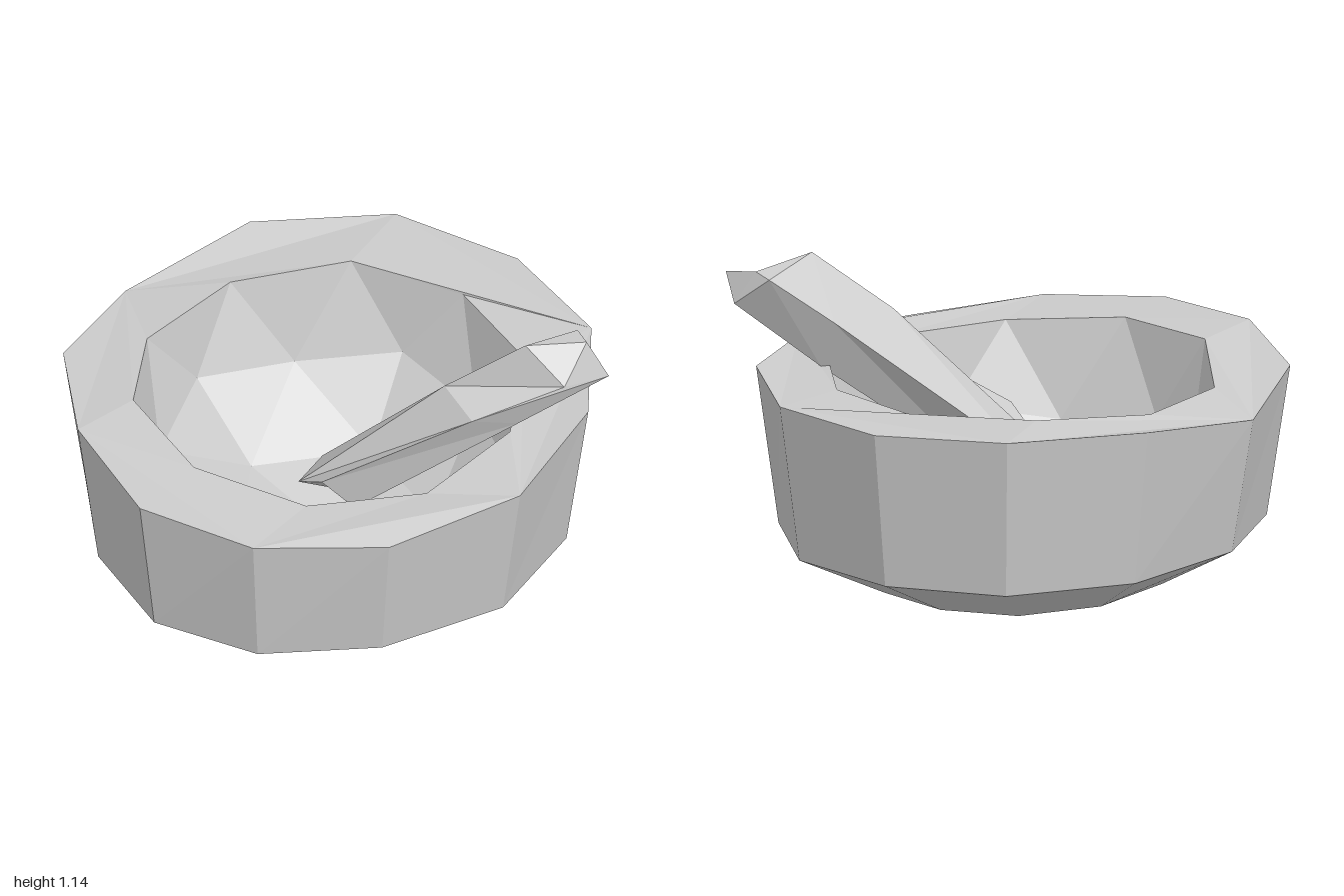
import * as THREE from 'three';

const material = new THREE.MeshStandardMaterial({ color: 0xcccccc, flatShading: true });

// Uneven twelve-sided rim outline: x, y, z, counter-clockwise from above
const rim = [
  [0.91, 0.74, 0.01], [0.78, 0.765, -0.49], [0.45, 0.755, -0.87], [-0.02, 0.75, -1],
  [-0.5, 0.765, -0.89], [-0.85, 0.765, -0.51], [-0.96, 0.70, 0.02], [-0.82, 0.765, 0.5],
  [-0.45, 0.80, 0.83], [0, 0.775, 1], [0.43, 0.75, 0.88], [0.75, 0.715, 0.52],
];

const turn = (x, z) => {
  const a = Math.atan2(-z, x);
  return a < -0.0111 ? a + Math.PI * 2 : a;
};

// Rim height at any point, interpolated around the outline
function rimHeight(x, z) {
  const a = turn(x, z);
  for (let i = 0; i < rim.length; i++) {
    const p = rim[i], q = rim[(i + 1) % rim.length];
    const a0 = turn(p[0], p[2]);
    let a1 = turn(q[0], q[2]);
    if (a1 < a0) a1 += Math.PI * 2;
    if (a >= a0 && a <= a1) return THREE.MathUtils.lerp(p[1], q[1], (a - a0) / (a1 - a0));
  }
  return rim[0][1];
}

function meshFrom(positions, name) {
  const geometry = new THREE.BufferGeometry();
  geometry.setAttribute('position', new THREE.Float32BufferAttribute(positions, 3));
  geometry.computeVertexNormals();
  const mesh = new THREE.Mesh(geometry, material);
  mesh.name = name;
  return mesh;
}

// Skin through rings of equal count, with optional fan caps
function loft(rings, startCap, endCap, name) {
  const out = [], n = rings[0].length;
  const tri = (a, b, c) => out.push(...a, ...b, ...c);
  for (let i = 0; i < n; i++) {
    const j = (i + 1) % n;
    for (let k = 0; k + 1 < rings.length; k++) {
      const lo = rings[k], hi = rings[k + 1];
      tri(lo[i], lo[j], hi[j]);
      tri(lo[i], hi[j], hi[i]);
    }
    if (startCap) tri(rings[0][j], rings[0][i], startCap);
    if (endCap) tri(rings.at(-1)[i], rings.at(-1)[j], endCap);
  }
  return meshFrom(out, name);
}

// Outer wall: tilted foot, waist and rim
function bowlShell() {
  const foot = rim.map(([x, , z]) => {
    const fz = z * 0.575 + 0.035;
    return [x * 0.59, Math.max(0, 0.033 + 0.06 * fz), fz];
  });
  const waist = rim.map(([x, , z]) => [x * 0.91, 0.205 + 0.025 * z, z * 0.925]);
  return loft([foot, waist, rim], [0, 0.035, 0.035], null, 'bowlShell');
}

// Hollow: lower half of a faceted sphere, turned inside out
function bowlHollow() {
  const ball = new THREE.IcosahedronGeometry(1, 1);
  ball.rotateZ(Math.atan2(1, (1 + Math.sqrt(5)) / 2) * -1);
  const p = ball.attributes.position, out = [];
  for (let i = 0; i < p.count; i += 3) {
    if (p.getY(i) + p.getY(i + 1) + p.getY(i + 2) > -0.01) continue;
    for (const k of [i, i + 2, i + 1]) {
      const x = p.getX(k) * 0.7 - 0.02, z = p.getZ(k) * 0.705 - 0.01, y = p.getY(k);
      out.push(x, y > -0.01 ? rimHeight(x, z) : 0.745 + y * 0.64, z);
    }
  }
  return meshFrom(out, 'bowlHollow');
}

// Flat lip between the wall and the ten-sided opening
function bowlLip() {
  const shape = new THREE.Shape(rim.map(([x, , z]) => new THREE.Vector2(x, -z)));
  const opening = [];
  for (let i = 0; i < 10; i++) {
    const a = (i + 0.5) * Math.PI / 5;
    opening.push(new THREE.Vector2(Math.cos(a) * 0.7 - 0.02, Math.sin(a) * 0.705 + 0.01));
  }
  shape.holes.push(new THREE.Path(opening));
  const geometry = new THREE.ShapeGeometry(shape).rotateX(-Math.PI / 2);
  const p = geometry.attributes.position;
  for (let i = 0; i < p.count; i++) p.setY(i, rimHeight(p.getX(i), p.getZ(i)));
  geometry.computeVertexNormals();
  const mesh = new THREE.Mesh(geometry, material);
  mesh.name = 'bowlLip';
  return mesh;
}

// Rough-cut five-sided pestle leaning on the lip
function pestle() {
  const tip = [[0, 0.43, 0.17], [0.17, 0.55, 0.235], [0.24, 0.42, 0.14], [0.14, 0.34, 0.02], [-0.04, 0.43, 0]];
  const middle = [[0.45, 0.93, -0.1], [0.6, 0.86, -0.08], [0.7, 0.83, -0.21], [0.61, 0.75, -0.33], [0.53, 0.93, -0.37]];
  const grip = [[0.69, 1.14, -0.26], [0.83, 1.0, -0.31], [0.96, 1.065, -0.4], [0.87, 0.98, -0.49], [0.72, 1.09, -0.5]];
  return loft([tip, middle, grip], [0.08, 0.4, 0.09], [0.8, 1.1, -0.46], 'pestle');
}

export function createModel() {
  const model = new THREE.Group();
  model.name = 'mortarAndPestle';
  const bowl = new THREE.Group();
  bowl.name = 'bowl';
  bowl.add(bowlShell(), bowlHollow(), bowlLip());
  model.add(bowl, pestle());
  return model;
}
